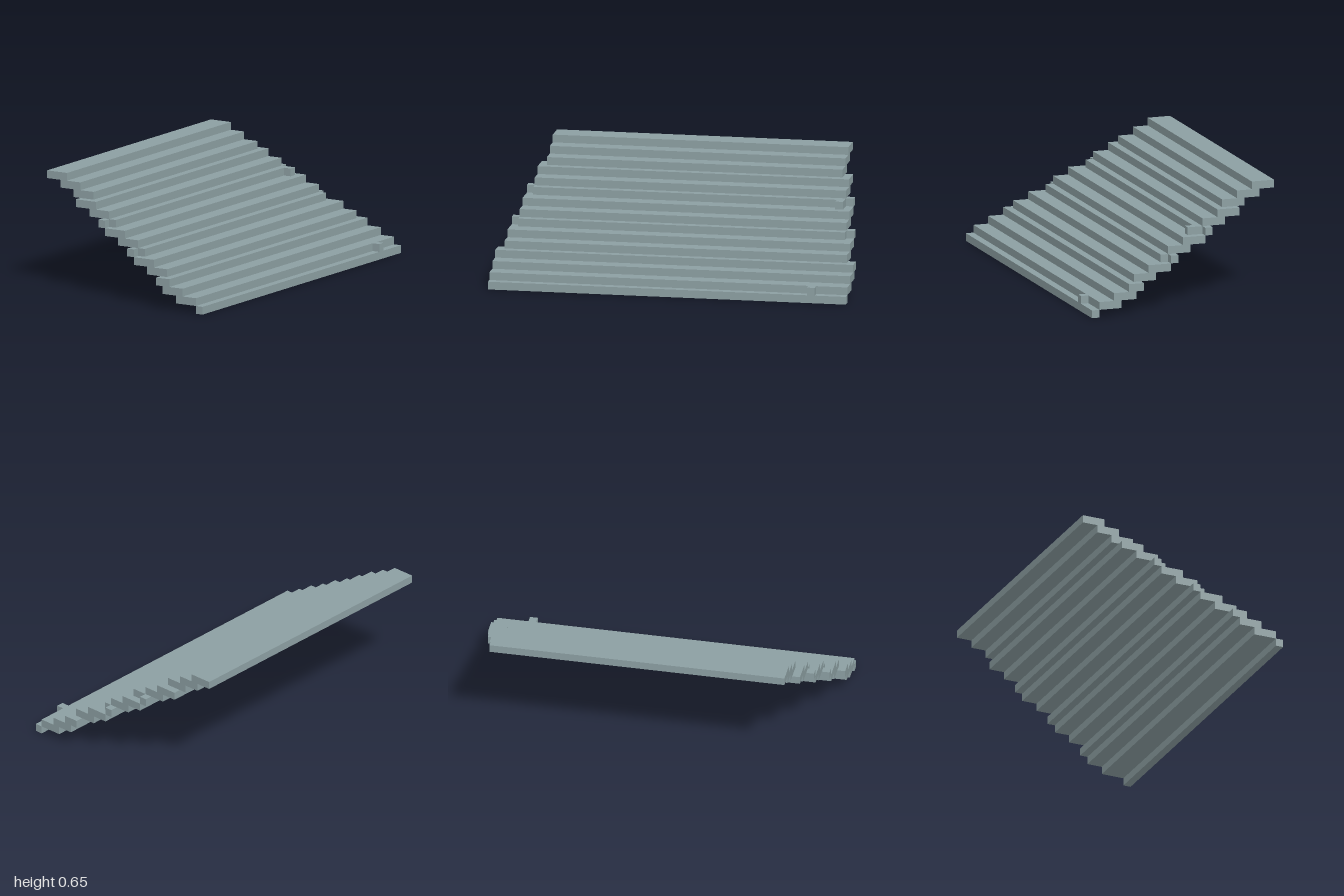
import * as THREE from 'three';

const U = 2 / 46; // size of one block

// Full-length treads: [layer, first column, end column, half length in blocks]
const TREADS = [
  [14, 0, 3, 19], [13, 2, 5, 19], [12, 4, 7, 19],
  [11, 5, 8, 20], [10, 7, 10, 20],
  [9, 9, 10, 21], [9, 10, 11, 20], [8, 10, 13, 21], [7, 12, 15, 21],
  [6, 14, 15, 22], [6, 15, 16, 21], [5, 15, 18, 22], [4, 17, 20, 22],
  [3, 19, 21, 23], [2, 20, 23, 23], [1, 22, 25, 23], [0, 25, 26, 23],
];

// Single loose blocks: [layer, column, row counted from the back]
const BLOCKS = [[9, 11, 3], [1, 25, 4]];

export function createModel() {
  const group = new THREE.Group();
  group.name = 'steppedRoofSlope';
  const slate = new THREE.MeshStandardMaterial({ color: 0x8c9fa2 });
  slate.name = 'slate grey';

  // Box spanning columns x0..x1 and rows z0..z1 on one layer
  const addBox = (name, layer, x0, x1, z0, z1) => {
    const mesh = new THREE.Mesh(
      new THREE.BoxGeometry((x1 - x0) * U, U, (z1 - z0) * U), slate);
    mesh.position.set(((x0 + x1) / 2 - 13) * U, (layer + 0.5) * U, ((z0 + z1) / 2 - 23) * U);
    mesh.name = name;
    group.add(mesh);
  };

  TREADS.forEach(([layer, x0, x1, half], i) =>
    addBox(`tread${i + 1}`, layer, x0, x1, 23 - half, 23 + half));
  BLOCKS.forEach(([layer, x, z], i) =>
    addBox(`looseBlock${i + 1}`, layer, x, x + 1, z, z + 1));

  return group;
}
